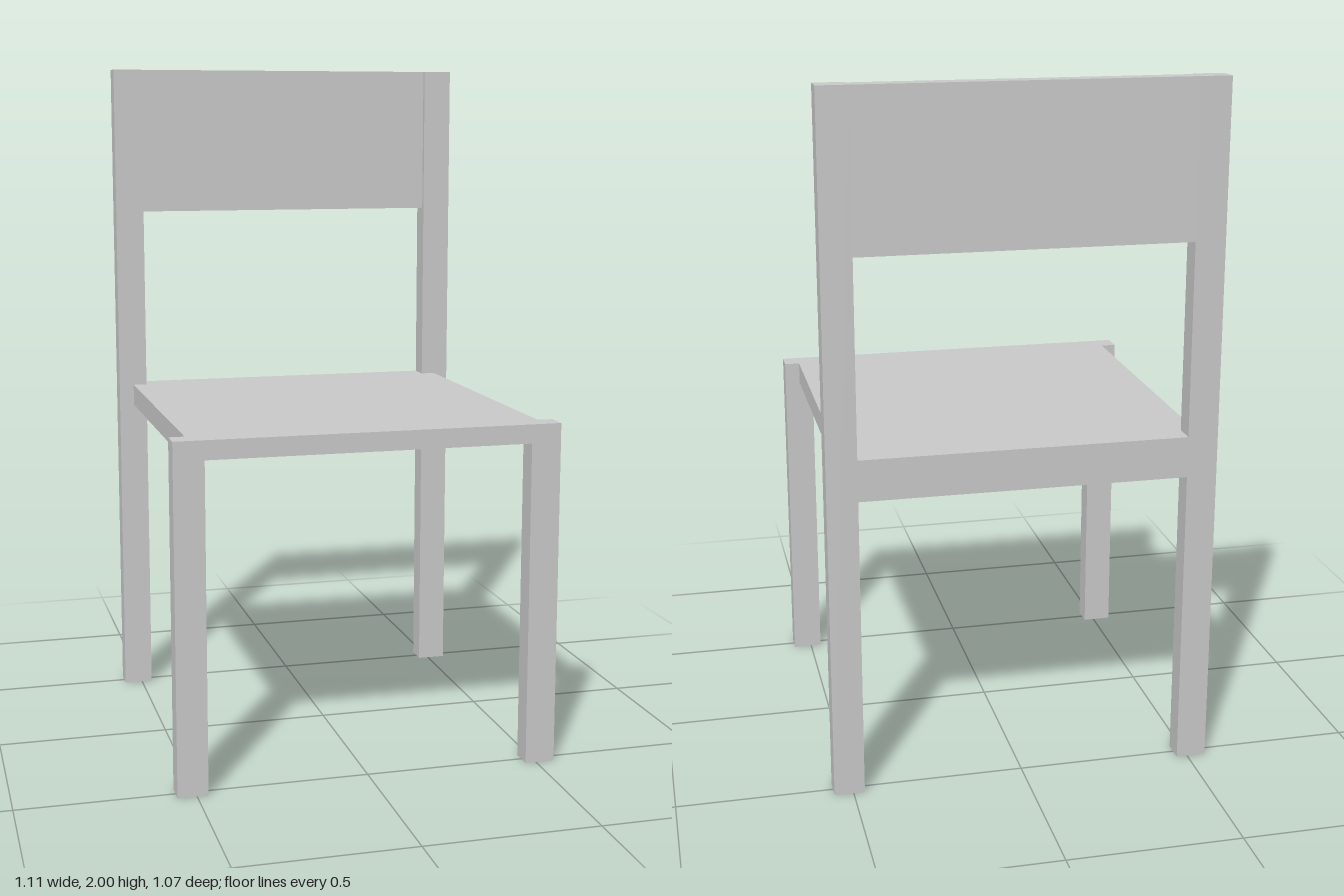
import * as THREE from 'three';

export function createModel() {
  const chair = new THREE.Group();
  chair.name = 'chair';
  const grey = new THREE.MeshStandardMaterial({ color: 0xc8c8c8 });
  grey.name = 'light grey';

  // Box given by its lower and upper limits on each axis
  function box(name, [x0, x1], [y0, y1], [z0, z1]) {
    const mesh = new THREE.Mesh(new THREE.BoxGeometry(x1 - x0, y1 - y0, z1 - z0), grey);
    mesh.position.set((x0 + x1) / 2, (y0 + y1) / 2, (z0 + z1) / 2);
    mesh.name = name;
    chair.add(mesh);
  }

  const inner = 0.468, outer = 0.555, depth = 0.534, seatTop = 1;
  const span = [-inner, inner];
  const front = [inner, depth], back = [-depth, -inner];

  // Legs and side rails, mirrored left and right
  for (const [side, s] of [['left', 1], ['right', -1]]) {
    const across = (a, b) => (s > 0 ? [a, b] : [-b, -a]);
    box(side + 'FrontLeg', across(inner, outer), [0, seatTop], front);
    box(side + 'BackPost', across(inner, outer), [0, 2], back);
    box(side + 'SideRail', across(inner, 0.51), [0.935, seatTop], span);
  }

  // Seat board, flush with the front rail above and below
  box('seat', span, [0.945, seatTop], span);

  // Cross rails at the front and back of the seat
  box('frontRail', span, [0.945, seatTop], front);
  box('backRail', span, [0.881, seatTop], back);

  // Backrest, slightly recessed from the front of the posts
  box('backrest', span, [1.556, 2], [-depth, -0.481]);

  return chair;
}
